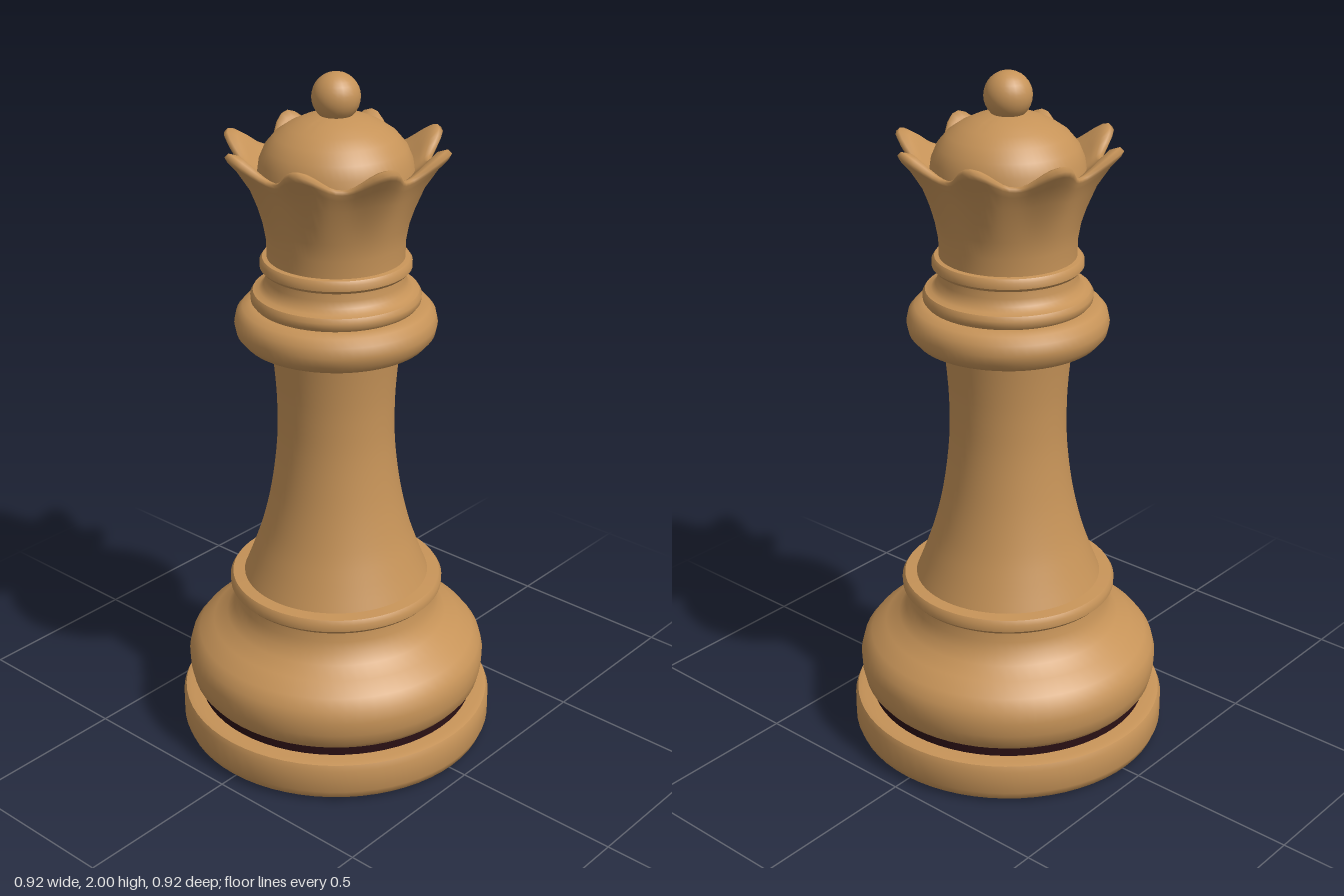
import * as THREE from 'three';
import { mergeVertices, toCreasedNormals } from 'three/addons/utils/BufferGeometryUtils.js';

const SEGMENTS = 64;

export function createModel() {
  const group = new THREE.Group();
  const wood = new THREE.MeshStandardMaterial({ color: 0xc69358 });
  wood.name = 'warm wood';
  const dark = new THREE.MeshStandardMaterial({ color: 0x2a1014 });
  dark.name = 'dark groove';

  const add = (name, geometry, material = wood) => {
    const mesh = new THREE.Mesh(geometry, material);
    mesh.name = name;
    group.add(mesh);
    return mesh;
  };

  // Turned part: profile of [radius, height], bottom to top
  const lathe = (profile, segments = SEGMENTS) =>
    new THREE.LatheGeometry(profile.map(([r, y]) => new THREE.Vector2(r, y)), segments);
  const turned = (name, profile, material) =>
    add(name, toCreasedNormals(lathe(profile), 0.65), material);

  // Foot, groove and bulging base
  turned('footDisc', [
    [0, 0], [0.435, 0], [0.453, 0.012], [0.462, 0.035], [0.462, 0.105], [0.455, 0.122], [0.44, 0.126], [0.38, 0.126],
  ]);
  turned('groove', [[0.408, 0.124], [0.408, 0.158]], dark);
  turned('baseBulge', [
    [0.38, 0.155], [0.415, 0.156], [0.43, 0.175], [0.438, 0.21], [0.44, 0.25], [0.431, 0.285], [0.408, 0.315],
    [0.365, 0.345], [0.325, 0.372], [0.304, 0.4], [0.293, 0.43], [0.29, 0.468],
  ]);
  turned('baseRing', [
    [0.28, 0.462], [0.3, 0.464], [0.311, 0.475], [0.312, 0.495], [0.304, 0.508], [0.26, 0.512],
  ]);

  // Slender waisted stem
  const stemCurve = new THREE.SplineCurve([
    [0.272, 0.505], [0.243, 0.58], [0.213, 0.67], [0.186, 0.79], [0.169, 0.93], [0.167, 1.05], [0.173, 1.15], [0.184, 1.25],
  ].map(([r, y]) => new THREE.Vector2(r, y)));
  turned('stem', stemCurve.getPoints(28).map((p) => [p.x, p.y]));

  // Collar with its stacked rings
  turned('collar', [
    [0.17, 1.236], [0.225, 1.238], [0.258, 1.25], [0.277, 1.272], [0.283, 1.3], [0.277, 1.328],
    [0.26, 1.348], [0.235, 1.355], [0.17, 1.357],
  ]);
  turned('collarRing', [
    [0.18, 1.352], [0.228, 1.356], [0.236, 1.366], [0.237, 1.382], [0.23, 1.394], [0.213, 1.398], [0.2, 1.41],
    [0.194, 1.43], [0.192, 1.46],
  ]);
  turned('neckRing', [
    [0.18, 1.452], [0.202, 1.454], [0.21, 1.463], [0.21, 1.48], [0.203, 1.49], [0.18, 1.493],
  ]);

  // Flared crown: [radius, height, outward pull, upward pull] at the eight tips
  const crownProfile = [
    [0.19, 1.485, 0, 0], [0.191, 1.54, 0, 0], [0.2, 1.59, 0, 0], [0.214, 1.64, 0.004, 0],
    [0.23, 1.69, 0.016, 0.015], [0.246, 1.727, 0.038, 0.035], [0.255, 1.744, 0.056, 0.048],
    [0.256, 1.753, 0.064, 0.056], [0.249, 1.757, 0.06, 0.062], [0.238, 1.753, 0.042, 0.056],
    [0.224, 1.742, 0.024, 0.03], [0.2, 1.728, 0, 0],
  ];
  const crown = lathe(crownProfile, 96);
  const pos = crown.attributes.position;
  for (let i = 0; i < pos.count; i++) {
    const [r, y, out, up] = crownProfile[i % crownProfile.length];
    const angle = Math.atan2(pos.getX(i), pos.getZ(i));
    const tip = Math.pow(0.5 - 0.5 * Math.cos(8 * angle), 1.25);
    const radius = r + out * tip;
    pos.setXYZ(i, radius * Math.sin(angle), y + up * tip, radius * Math.cos(angle));
  }
  crown.deleteAttribute('uv');
  crown.deleteAttribute('normal');
  const crownSmooth = mergeVertices(crown, 1e-5);
  crownSmooth.computeVertexNormals();
  add('crown', crownSmooth);

  // Dome inside the crown, and the ball on top
  turned('dome', [
    [0.213, 1.725], [0.207, 1.765], [0.192, 1.8], [0.165, 1.832], [0.13, 1.856], [0.09, 1.875], [0.045, 1.886], [0, 1.89],
  ]);
  add('finial', new THREE.SphereGeometry(0.066, 24, 16)).position.y = 1.934;

  return group;
}
